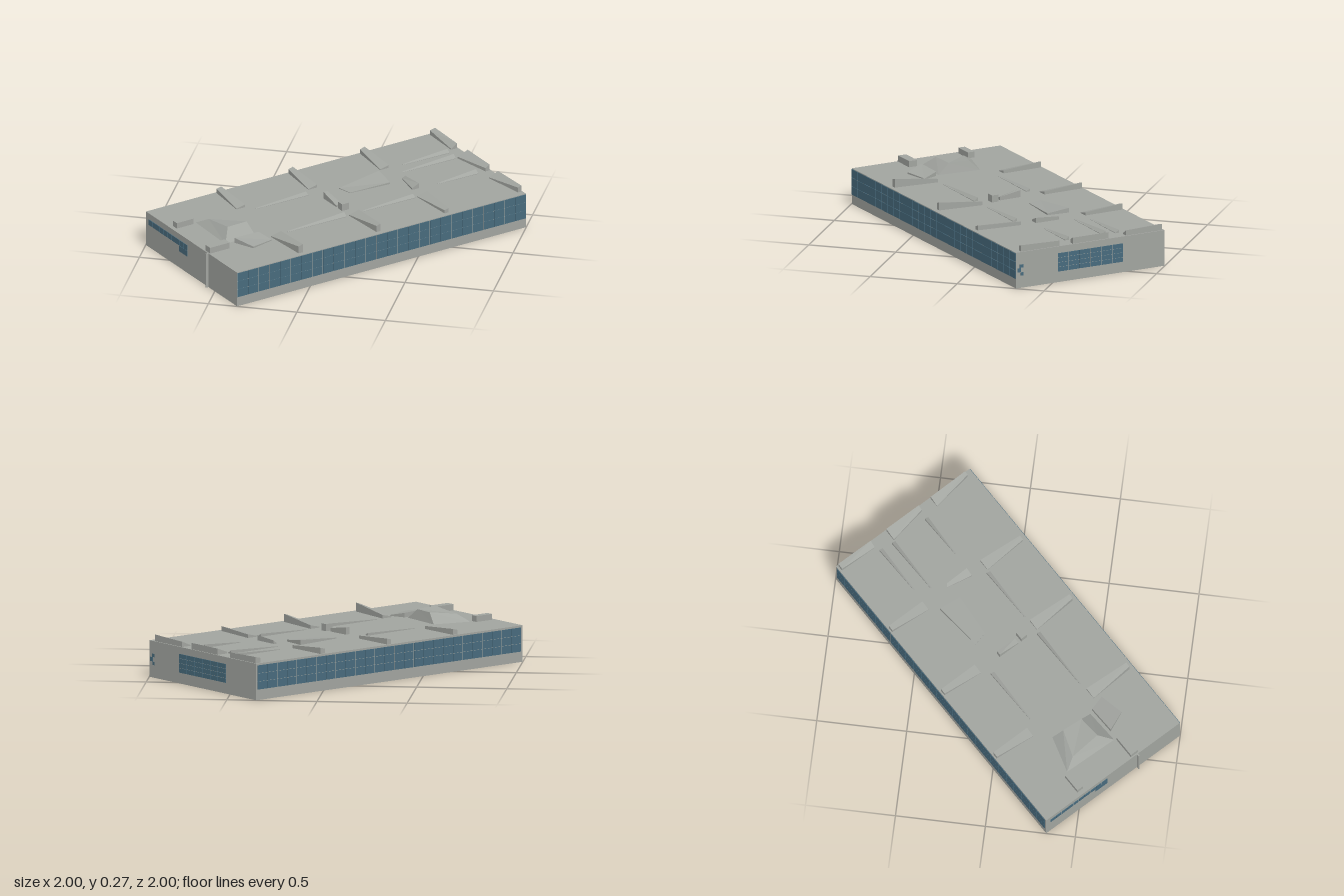
import * as THREE from 'three';
import { mergeGeometries } from 'three/addons/utils/BufferGeometryUtils.js';

const L = 0.945, W = 0.467, H = 0.205;

export function createModel() {
  const grey = new THREE.MeshStandardMaterial({ color: 0xa2a5a0, side: THREE.DoubleSide });
  grey.name = 'concrete grey';
  const blue = new THREE.MeshStandardMaterial({ color: 0x486b7d });
  blue.name = 'window blue';

  const model = new THREE.Group();
  model.name = 'building';
  const hall = new THREE.Group();
  hall.name = 'hall';
  hall.rotation.y = Math.PI / 4; // the hall stands diagonally
  model.add(hall);

  const add = (parent, name, geometry, material) => {
    const mesh = new THREE.Mesh(geometry, material);
    mesh.name = name;
    parent.add(mesh);
    return mesh;
  };

  // Four walls, each a group whose +z faces outward and whose x runs along the wall
  const makeWall = (name, length, distance, turn) => {
    const g = new THREE.Group();
    g.name = name;
    g.rotation.y = turn;
    hall.add(g);
    const panel = add(g, name + 'Panel', new THREE.PlaneGeometry(length, H), grey);
    panel.position.set(0, H / 2, distance);
    g.userData.distance = distance;
    return g;
  };
  const frontWall = makeWall('frontWall', 2 * L, W, 0);
  const backWall = makeWall('backWall', 2 * L, W, Math.PI);
  const rearEnd = makeWall('rearEndWall', 2 * W, L, Math.PI / 2);
  const frontEnd = makeWall('frontEndWall', 2 * W, L, -Math.PI / 2);

  // Grid of thin window panes with narrow gaps as glazing bars
  const windows = (wall, name, x0, x1, y0, y1, cols, rows) => {
    const panes = [], w = (x1 - x0) / cols, h = (y1 - y0) / rows;
    for (let i = 0; i < cols; i++) for (let j = 0; j < rows; j++) {
      const pane = new THREE.BoxGeometry(w - 0.004, h - 0.002, 0.004);
      pane.translate(x0 + (i + 0.5) * w, y0 + (j + 0.5) * h, wall.userData.distance + 0.001);
      panes.push(pane);
    }
    add(wall, name, mergeGeometries(panes), blue);
  };
  windows(frontWall, 'frontWindows', -L, L, 0.055, 0.202, 27, 3);
  windows(backWall, 'backWindows', -0.935, 0.935, 0.058, 0.195, 27, 3);
  windows(rearEnd, 'rearEndWindows', -0.205, 0.205, 0.06, 0.167, 6, 4);
  windows(frontEnd, 'frontEndWindows', -0.44, -0.04, 0.135, 0.17, 10, 1);
  windows(frontEnd, 'lowEndWindow', -0.125, -0.04, 0.1, 0.135, 1, 1);
  // Small stepped panes beside the rear corner
  [[0.07, 0.09, 0.42, 0.44], [0.09, 0.115, 0.435, 0.46], [0.115, 0.135, 0.42, 0.445]].forEach(([y0, y1, a, b], i) =>
    windows(rearEnd, 'cornerPane' + (i + 1), -b, -a, y0, y1, 1, 1));

  // Narrow upright fin on the front end
  const fin = add(frontEnd, 'wallFin', new THREE.BoxGeometry(0.008, H, 0.016), grey);
  fin.position.set(0.17, H / 2, L + 0.008);

  // Roof sheet, opened under every raised part so the shell stays hollow
  const roof = new THREE.Shape([[-L, -W], [L, -W], [L, W], [-L, W]].map(([u, v]) => new THREE.Vector2(u, v)));
  const roofParts = new THREE.Group();
  roofParts.name = 'roofParts';
  hall.add(roofParts);

  // Raised part: loop of base corners [u, v], plus a top loop [u, y, v]
  const raise = (name, base, top) => {
    roof.holes.push(new THREE.Path(base.map(([u, v]) => new THREE.Vector2(u, v))));
    const pos = [], n = base.length;
    const low = base.map(([u, v]) => [u, H, v]);
    const tri = (a, b, c) => pos.push(...a, ...b, ...c);
    for (let i = 0; i < n; i++) {
      const j = (i + 1) % n;
      tri(low[i], top[i], top[j]);
      tri(low[i], top[j], low[j]);
      if (i > 0 && i < n - 1) tri(top[0], top[j], top[i]);
    }
    const g = new THREE.BufferGeometry();
    g.setAttribute('position', new THREE.Float32BufferAttribute(pos, 3));
    g.computeVertexNormals();
    add(roofParts, name, g, grey);
  };
  // Wedge with upright sides; one height per corner
  const wedge = (name, base, heights) =>
    raise(name, base, base.map(([u, v], i) => [u, heights[i], v]));
  // Straight block; heights at its low-v and high-v edges
  const block = (name, u0, u1, v0, v1, hLow, hHigh) =>
    wedge(name, [[u0, v0], [u1, v0], [u1, v1], [u0, v1]], [hLow, hLow, hHigh, hHigh]);
  // Low ridge along the hall, sloping to one side
  const ridge = (u0, u1, v, h) => wedge('longRidge',
    [[u0, v - 0.004], [u1, v - 0.012], [u1, v + 0.012], [u0, v + 0.004]], [H + 0.003, h, H + 0.003, H + 0.001]);

  // Cross wedges rising toward both long edges
  [[-0.51, 0.255], [0, 0.25], [0.445, 0.232]].forEach(([u, h]) => wedge('frontCrossWedge',
    [[u - 0.03, 0.18], [u + 0.035, 0.18], [u + 0.012, 0.44], [u - 0.015, 0.44]], [H + 0.005, 0.225, h, h - 0.008]));
  [[-0.48, 0.238], [-0.01, 0.238], [0.46, 0.24]].forEach(([u, h]) => wedge('backCrossWedge',
    [[u - 0.01, -0.458], [u + 0.02, -0.458], [u + 0.025, -0.22], [u - 0.03, -0.22]], [h - 0.008, h, 0.222, H + 0.004]));

  // Raised strips along the rear end
  wedge('rearStripBack', [[0.905, -0.455], [0.938, -0.455], [0.938, -0.23], [0.9, -0.23]], [0.232, 0.24, 0.235, 0.21]);
  wedge('rearStripMiddle', [[0.87, -0.12], [0.938, -0.12], [0.938, 0.106], [0.91, 0.106]], [0.215, 0.24, 0.24, 0.225]);
  wedge('rearStripFront', [[0.88, 0.19], [0.938, 0.19], [0.938, 0.43], [0.915, 0.43]], [0.21, 0.235, 0.242, 0.235]);

  // Blocks at the front end
  block('endBlockBack', -0.92, -0.81, -0.23, -0.19, 0.238, 0.238);
  block('endBlockFront', -0.938, -0.81, 0.13, 0.18, 0.24, 0.24);

  // Large hump with sloping sides
  raise('roofHump',
    [[-0.79, -0.2], [-0.58, -0.14], [-0.6, 0.11], [-0.8, 0.12]],
    [[-0.75, 0.245, -0.13], [-0.6, 0.262, -0.08], [-0.61, 0.262, 0.04], [-0.74, 0.266, 0.05]]);
  wedge('lowSlope', [[-0.75, 0.135], [-0.59, 0.13], [-0.56, 0.22], [-0.7, 0.25]], [0.235, 0.23, 0.21, 0.215]);

  // Central folds and small boxes
  wedge('centralFold', [[0.11, -0.14], [0.39, -0.17], [0.38, -0.04], [0.13, -0.06]], [0.21, 0.232, 0.215, 0.208]);
  wedge('crossFold', [[0.47, -0.06], [0.485, -0.05], [0.485, 0.09], [0.44, 0.09]], [0.21, 0.225, 0.235, 0.215]);
  wedge('centreFin', [[-0.03, -0.08], [-0.005, -0.08], [0.0, 0.05], [-0.03, 0.05]], [0.245, 0.245, 0.225, 0.215]);
  block('centreBox', -0.03, 0.015, 0.07, 0.11, 0.245, 0.245);

  // Long ridges
  ridge(0.57, 0.87, -0.21, 0.222);
  ridge(0.52, 0.86, -0.13, 0.225);
  ridge(0.6, 0.86, 0.1, 0.225);
  ridge(0.07, 0.4, 0.175, 0.222);
  ridge(-0.43, -0.05, 0.175, 0.225);
  ridge(-0.42, -0.08, -0.17, 0.22);

  const sheet = new THREE.ShapeGeometry(roof);
  sheet.scale(1, -1, 1).rotateX(-Math.PI / 2).translate(0, H, 0);
  // Scaling mirrors the sheet, so restore its upward order
  const order = sheet.index.array;
  for (let i = 0; i < order.length; i += 3) [order[i], order[i + 1]] = [order[i + 1], order[i]];
  sheet.computeVertexNormals();
  add(hall, 'roofSheet', sheet, grey);

  return model;
}
